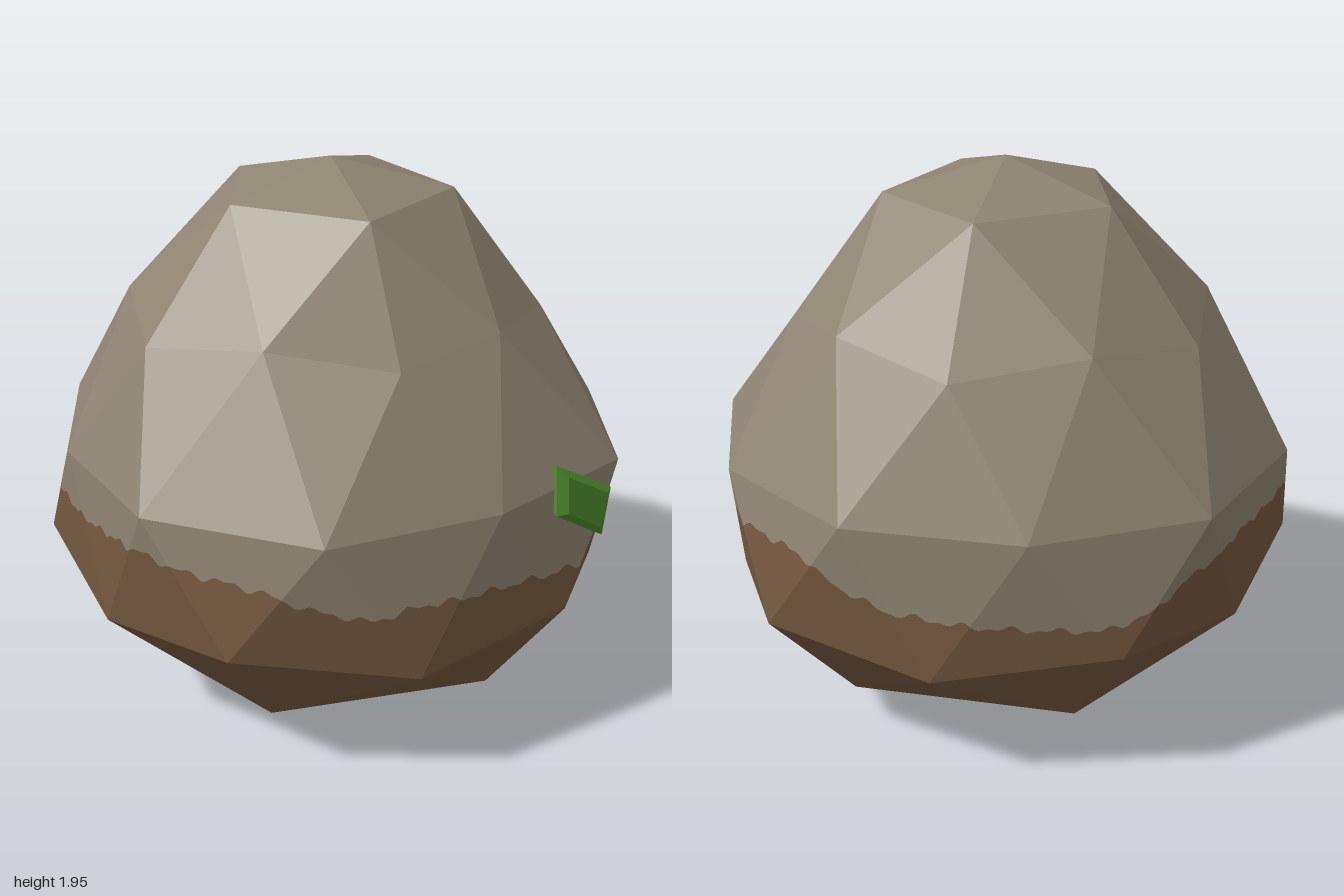
import * as THREE from 'three';

const stone = new THREE.MeshStandardMaterial({ color: 0x8f8472 });
stone.name = 'greyStone';
const soil = new THREE.MeshStandardMaterial({ color: 0x765940 });
soil.name = 'brownSoil';
const leaf = new THREE.MeshStandardMaterial({ color: 0x4c8a2c });
leaf.name = 'mossGreen';

// Rings of the boulder, [x, z] counter-clockwise from +x towards +z
const ring = (y, pts) => pts.map(([x, z]) => new THREE.Vector3(x, y, z));
const top = new THREE.Vector3(0.02, 1.95, 0);
const bottom = new THREE.Vector3(0.02, 0, 0);
const crown = ring(1.84, [[0.43, -0.02], [0.15, 0.35], [-0.3, 0.19], [-0.3, -0.24], [0.15, -0.38]]);
const shoulder = ring(1.48, [[0.57, 0.37], [-0.18, 0.55], [-0.67, -0.02], [-0.2, -0.63], [0.59, -0.39]]);
const chest = ring(1.42, [[0.74, -0.03], [0.25, 0.57], [-0.57, 0.38], [-0.57, -0.42], [0.25, -0.66]]);
const waist = ring(0.98, [[1, 0.27], [0.58, 0.67], [0.02, 0.91], [-0.57, 0.72], [-0.87, 0.26],
  [-0.92, -0.3], [-0.57, -0.77], [0.02, -0.9], [0.6, -0.74], [0.97, -0.3]]);
const hip = ring(0.54, [[0.82, 0.52], [-0.29, 0.87], [-1, -0.02], [-0.29, -0.87], [0.85, -0.57]]);
const belly = ring(0.46, [[0.97, 0], [0.33, 0.83], [-0.73, 0.5], [-0.73, -0.5], [0.33, -0.84]]);
const base = ring(0.14, [[0.58, 0.37], [-0.17, 0.58], [-0.63, 0], [-0.17, -0.59], [0.58, -0.37]]);

// Facets of the boulder: five equal sectors of sixteen triangles
function facets() {
  const out = [];
  for (let k = 0; k < 5; k++) {
    const n = (k + 1) % 5, p = (k + 4) % 5;
    const w0 = waist[2 * k], w1 = waist[2 * k + 1], wp = waist[(2 * k + 9) % 10];
    out.push(
      [top, crown[k], crown[n]], [crown[k], chest[k], shoulder[k]],
      [crown[k], shoulder[k], crown[n]], [crown[n], shoulder[k], chest[n]],
      [chest[k], shoulder[k], w0], [shoulder[k], chest[n], w1],
      [shoulder[k], w1, w0], [w0, w1, hip[k]],
      [chest[k], wp, w0], [wp, hip[p], belly[k]],
      [wp, belly[k], w0], [w0, belly[k], hip[k]],
      [hip[p], base[p], belly[k]], [base[p], base[k], belly[k]],
      [belly[k], base[k], hip[k]], [base[p], bottom, base[k]]);
  }
  return out;
}

// Height of the ragged soil line by angle in degrees
const soilLine = [[0, 0.78], [15, 0.68], [26, 0.67], [40, 0.7], [68, 0.72], [80, 0.7], [90, 0.74],
  [100, 0.8], [130, 0.84], [150, 0.79], [165, 0.77], [180, 0.79], [200, 0.82], [220, 0.82],
  [235, 0.77], [245, 0.69], [255, 0.65], [270, 0.66], [300, 0.7], [310, 0.75], [318, 0.83],
  [335, 0.83], [350, 0.79], [360, 0.78]];

function aboveSoil(v) {
  const a = Math.atan2(v.z, v.x);
  const d = (THREE.MathUtils.radToDeg(a) + 360) % 360;
  const i = Math.max(1, soilLine.findIndex((s) => s[0] >= d));
  const [d0, h0] = soilLine[i - 1], [d1, h1] = soilLine[i];
  const h = h0 + (h1 - h0) * (d - d0) / (d1 - d0);
  return v.y - h - 0.009 * Math.sin(37 * a) - 0.007 * Math.sin(71 * a + 1);
}

// Keeps the part of a triangle on one side of the soil line
function clip(tri, sign, out) {
  const poly = [];
  tri.forEach((a, i) => {
    const b = tri[(i + 1) % 3];
    const ga = sign * aboveSoil(a), gb = sign * aboveSoil(b);
    if (ga >= 0) poly.push(a);
    if ((ga >= 0) !== (gb >= 0)) poly.push(a.clone().lerp(b, ga / (ga - gb)));
  });
  for (let i = 2; i < poly.length; i++) out.push(poly[0], poly[i - 1], poly[i]);
}

// Splits a flat facet finely where the soil line may cross it
function divide(tri, depth, upper, lower) {
  const ys = tri.map((v) => v.y);
  if (Math.min(...ys) > 0.88) { upper.push(...tri); return; }
  if (Math.max(...ys) < 0.61) { lower.push(...tri); return; }
  if (depth === 0) {
    clip(tri, 1, upper);
    clip(tri, -1, lower);
    return;
  }
  const [a, b, c] = tri;
  const ab = a.clone().lerp(b, 0.5), bc = b.clone().lerp(c, 0.5), ca = c.clone().lerp(a, 0.5);
  [[a, ab, ca], [ab, b, bc], [ca, bc, c], [ab, bc, ca]]
    .forEach((t) => divide(t, depth - 1, upper, lower));
}

// Turns triangles so that they face away from a centre
function outward(tri, centre) {
  const [a, b, c] = tri;
  const n = b.clone().sub(a).cross(c.clone().sub(a));
  const mid = a.clone().add(b).add(c).divideScalar(3).sub(centre);
  return n.dot(mid) < 0 ? [a, c, b] : tri;
}

function meshOf(points, material, name) {
  const g = new THREE.BufferGeometry().setFromPoints(points);
  g.computeVertexNormals();
  const m = new THREE.Mesh(g, material);
  m.name = name;
  return m;
}

// Small bevelled diamond leaf lying on the side of the boulder
function makeLeaf() {
  const rim = [[0.76, 1.06, 0.48], [0.965, 0.91, 0.335], [0.94, 0.75, 0.38], [0.765, 0.9, 0.53]]
    .map((p) => new THREE.Vector3(...p));
  const centre = new THREE.Vector3();
  rim.forEach((v) => centre.addScaledVector(v, 0.25));
  const normal = new THREE.Vector3(0.69, 0.05, 0.72).normalize();
  const shifted = (size, lift) => rim.map((v) =>
    centre.clone().lerp(v, size).addScaledVector(normal, lift));
  const edge = shifted(1, 0.008), face = shifted(0.72, 0.028), back = shifted(0.9, -0.03);
  const tris = [[face[0], face[1], face[2]], [face[0], face[2], face[3]],
    [back[0], back[1], back[2]], [back[0], back[2], back[3]]];
  for (let i = 0; i < 4; i++) {
    const j = (i + 1) % 4;
    tris.push([edge[i], edge[j], face[j]], [edge[i], face[j], face[i]],
      [edge[i], edge[j], back[j]], [edge[i], back[j], back[i]]);
  }
  return meshOf(tris.flatMap((t) => outward(t, centre)), leaf, 'leaf');
}

export function createModel() {
  const group = new THREE.Group();
  group.name = 'boulder';
  const upper = [], lower = [];
  const middle = new THREE.Vector3(0, 0.9, 0);
  facets().forEach((t) => divide(outward(t, middle), 5, upper, lower));
  group.add(meshOf(upper, stone, 'stoneTop'), meshOf(lower, soil, 'soilBase'), makeLeaf());
  return group;
}
